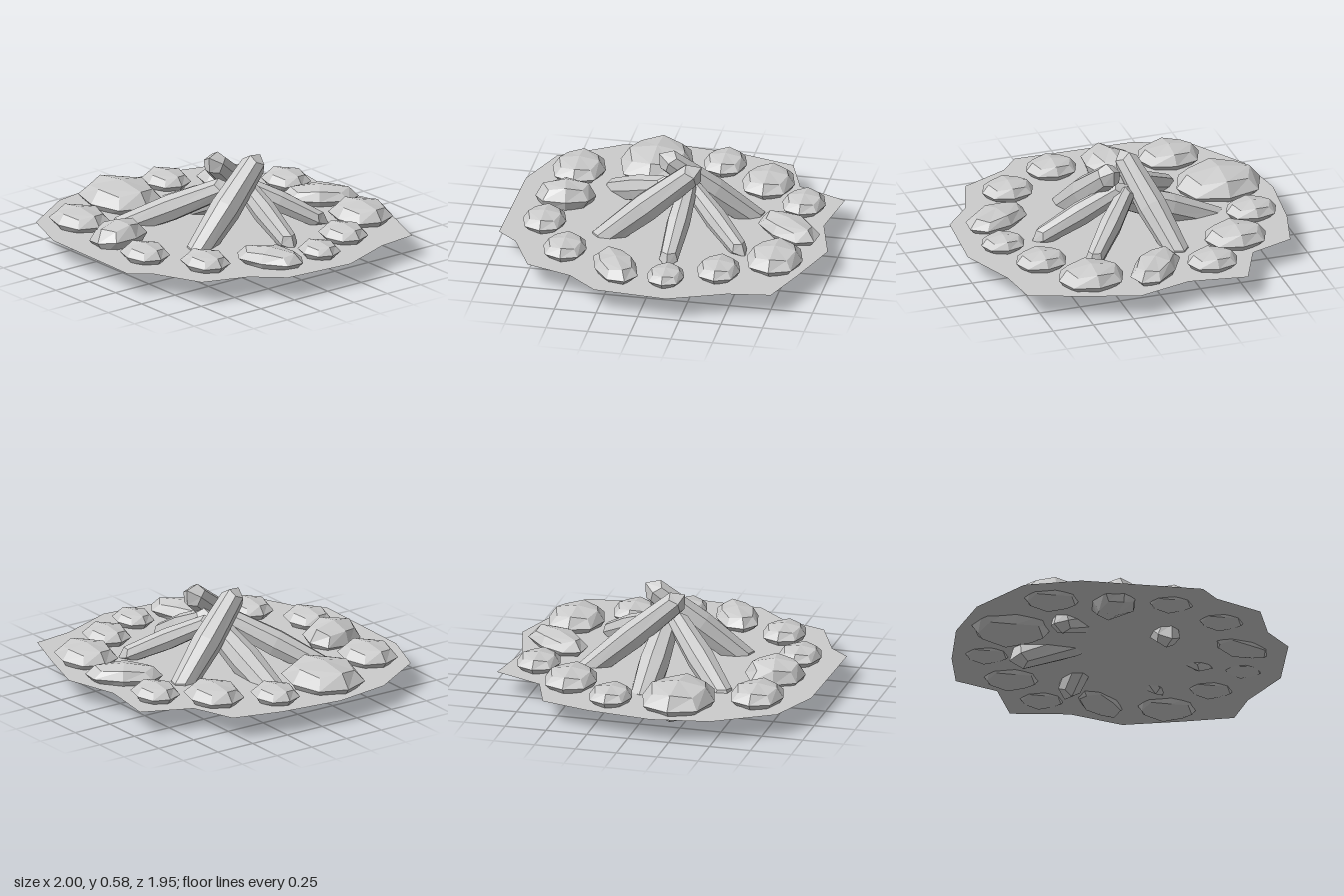
import * as THREE from 'three';

const material = new THREE.MeshStandardMaterial({ color: 0xcccccc, flatShading: true });

// Rounds a 2x2x2 box: face centres stay out, edges and corners are pulled in
function roundedBlock(place) {
  const geo = new THREE.BoxGeometry(2, 2, 2, 2, 2, 2).toNonIndexed();
  const pos = geo.attributes.position;
  const v = new THREE.Vector3();
  for (let i = 0; i < pos.count; i++) {
    v.fromBufferAttribute(pos, i).round();
    const outer = Math.abs(v.x) + Math.abs(v.y) + Math.abs(v.z);
    place(v, outer);
    pos.setXYZ(i, v.x, v.y, v.z);
  }
  geo.computeVertexNormals();
  return geo;
}

const PULL = [0, 1, 0.75, 0.556];
const stoneGeo = roundedBlock((v, n) => v.multiplyScalar(PULL[n]));

function stone([x, z, hx, hy, hz, turn = 0, tilt = 0]) {
  const mesh = new THREE.Mesh(stoneGeo, material);
  mesh.name = 'stone';
  mesh.position.set(x, 0.167, z);
  mesh.scale.set(hx, hy, hz);
  mesh.rotation.set(0, turn, tilt);
  return mesh;
}

// Eight-sided log, thickest in the middle, with blunt pointed ends
function log([foot, top, radius]) {
  const a = new THREE.Vector3(...foot), b = new THREE.Vector3(...top);
  const half = a.distanceTo(b) / 2;
  const geo = roundedBlock((v, n) => {
    const r = radius * (v.z ? [0, 0, 0.8, 0.6][n] : PULL[n]);
    const z = v.z * (half - [0, 0, 0.06, 0.085][n]);
    v.set(v.x * r, v.y * r, z);
  });
  const mesh = new THREE.Mesh(geo, material);
  mesh.name = 'log';
  mesh.position.copy(a).add(b).multiplyScalar(0.5);
  mesh.lookAt(b);
  return mesh;
}

// Thin ragged sheet of ground
function ground() {
  const outline = [
    [-0.48, -0.945], [-0.13, -0.89], [0.2, -0.98], [0.54, -0.87], [0.83, -0.765],
    [0.865, -0.51], [1, -0.17], [0.965, 0.27], [0.81, 0.445], [0.715, 0.72],
    [0.43, 0.85], [0.325, 0.97], [-0.4, 0.955], [-0.72, 0.835], [-0.94, 0.485],
    [-1, 0.135], [-0.955, -0.255], [-0.875, -0.555], [-0.61, -0.65],
  ];
  const shape = new THREE.Shape(outline.map(([x, z]) => new THREE.Vector2(x, -z)));
  const geo = new THREE.ShapeGeometry(shape).rotateX(-Math.PI / 2);
  const sheet = material.clone();
  sheet.side = THREE.DoubleSide;
  const mesh = new THREE.Mesh(geo, sheet);
  mesh.name = 'ground';
  mesh.position.y = 0.133;
  return mesh;
}

export function createModel() {
  const model = new THREE.Group();
  model.name = 'campfire';
  model.add(ground());

  // Ring of stones: x, z, half sizes, turn, tilt
  const stones = new THREE.Group();
  stones.name = 'stoneRing';
  [
    [-0.69, 0.225, 0.26, 0.11, 0.22],
    [-0.525, 0.66, 0.19, 0.078, 0.16],
    [-0.15, 0.665, 0.145, 0.105, 0.18, 0.17, 0.15],
    [0.18, 0.725, 0.155, 0.065, 0.13],
    [0.515, 0.535, 0.157, 0.065, 0.13],
    [0.7, 0.195, 0.215, 0.07, 0.125, 0.45],
    [0.765, -0.12, 0.133, 0.055, 0.112],
    [0.625, -0.41, 0.155, 0.065, 0.13],
    [0.415, -0.705, 0.2, 0.085, 0.168],
    [0.018, -0.71, 0.23, 0.075, 0.125, 0.9],
    [-0.33, -0.73, 0.155, 0.065, 0.13],
    [-0.56, -0.47, 0.19, 0.078, 0.158],
    [-0.76, -0.17, 0.155, 0.065, 0.13],
  ].forEach((s) => stones.add(stone(s)));
  model.add(stones);

  // Leaning logs: foot, top, radius
  const logs = new THREE.Group();
  logs.name = 'logPile';
  [
    [[0.24, 0.05, 0.43], [0.1, 0.56, -0.2], 0.088],
    [[-0.23, 0.05, -0.52], [-0.03, 0.56, 0.08], 0.085],
    [[-0.65, 0.045, -0.035], [0.08, 0.35, -0.05], 0.092],
    [[-0.475, 0.07, 0.47], [0.06, 0.4, -0.02], 0.08],
    [[0.575, 0.12, -0.085], [-0.02, 0.42, -0.11], 0.07],
    [[0.355, 0.125, -0.515], [-0.04, 0.4, -0.08], 0.066],
  ].forEach((l) => logs.add(log(l)));
  model.add(logs);
  return model;
}
